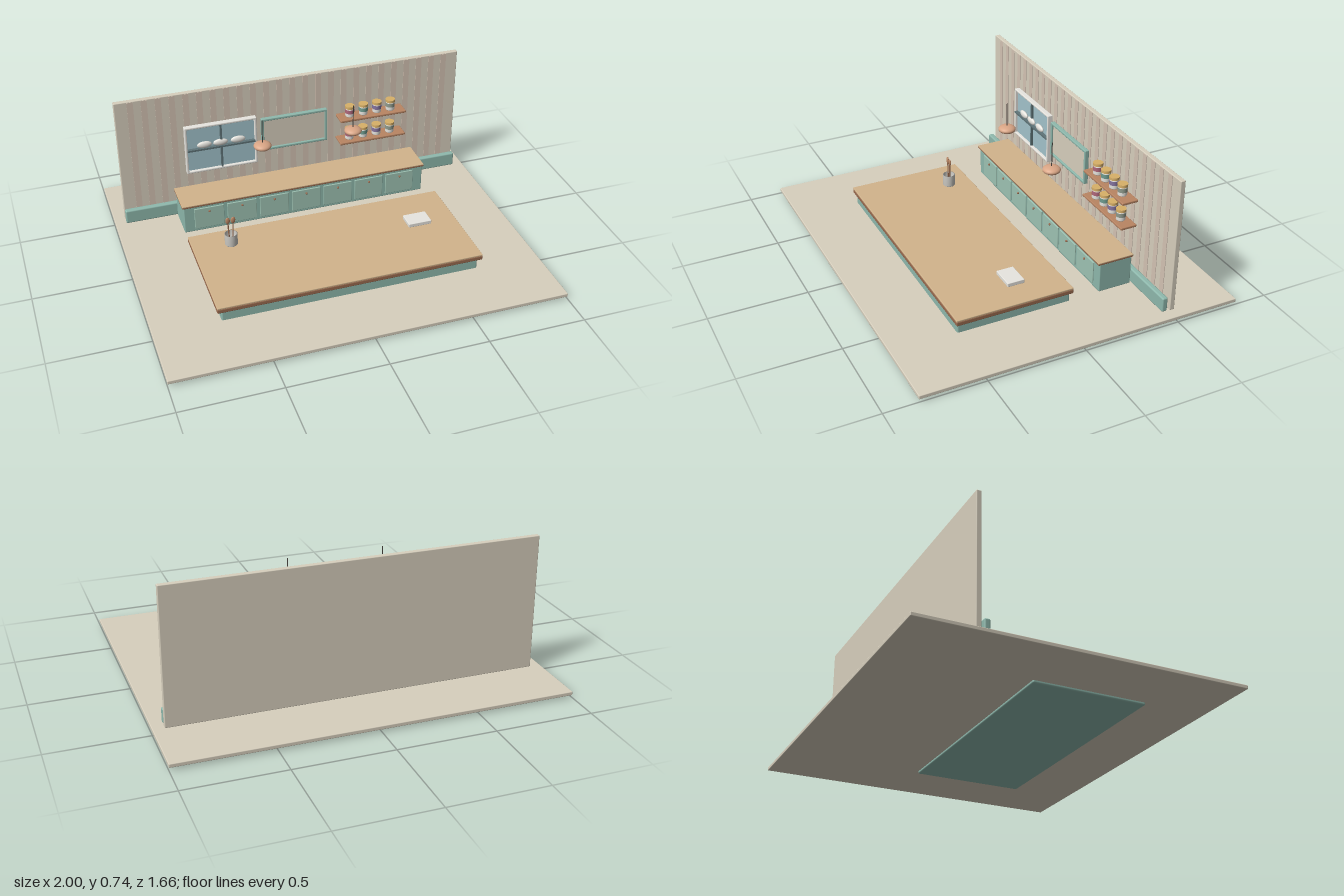
import * as THREE from 'three';
import { RoundedBoxGeometry } from 'three/addons/geometries/RoundedBoxGeometry.js';

const C = {
  cream: 0xd8d0be, stripe: 0xd5c4b4, teal: 0x8fb9ad, door: 0x9fc4b4, wood: 0xd2b48c, brown: 0x9a6b4f,
  shelf: 0xb98563, white: 0xe8e6e0, glass: 0xa3c4cc, slate: 0x5f7478, copper: 0xd9a585, dark: 0x4a4540,
  gold: 0xd8b068, steel: 0xc8c6c0,
};
const materials = {};
const mat = (color) => (materials[color] ??= new THREE.MeshStandardMaterial({ color, side: THREE.DoubleSide }));

function add(parent, name, geometry, color, x = 0, y = 0, z = 0) {
  const mesh = new THREE.Mesh(geometry, mat(color));
  mesh.name = name;
  mesh.position.set(x, y, z);
  parent.add(mesh);
  return mesh;
}

// Box given by its extents, with softened edges when r > 0
function box(parent, name, [x0, x1], [y0, y1], [z0, z1], color, r = 0) {
  const size = [x1 - x0, y1 - y0, z1 - z0];
  const geometry = r ? new RoundedBoxGeometry(...size, 2, r) : new THREE.BoxGeometry(...size);
  return add(parent, name, geometry, color, (x0 + x1) / 2, (y0 + y1) / 2, (z0 + z1) / 2);
}

function group(parent, name) {
  const g = new THREE.Group();
  g.name = name;
  parent.add(g);
  return g;
}

// Rectangular frame made of four bars
function frame(parent, name, [x0, x1], [y0, y1], z, w, color) {
  box(parent, name + 'Left', [x0, x0 + w], [y0, y1], z, color, 0.004);
  box(parent, name + 'Right', [x1 - w, x1], [y0, y1], z, color, 0.004);
  box(parent, name + 'Bottom', [x0, x1], [y0, y0 + w], z, color, 0.004);
  box(parent, name + 'Top', [x0, x1], [y1 - w, y1], z, color, 0.004);
}

const lathe = (points, segments = 24) =>
  new THREE.LatheGeometry(points.map(([r, y]) => new THREE.Vector2(r, y)), segments);

export function createModel() {
  const model = new THREE.Group();
  model.name = 'kitchen';

  // Floor, wall with wallpaper stripes, baseboard
  box(model, 'floor', [-1, 1], [0.013, 0.033], [-0.83, 0.83], C.cream, 0.004);
  box(model, 'wall', [-0.943, 0.943], [0.033, 0.737], [-0.513, -0.487], C.cream, 0.004);
  const stripes = group(model, 'wallStripes');
  for (let i = 0; i < 25; i++) {
    const x = -0.86 + i * 0.0717;
    box(stripes, 'stripe', [x - 0.016, x + 0.016], [0.04, 0.733], [-0.488, -0.4845], C.stripe);
  }
  box(model, 'baseboard', [-0.943, 0.943], [0.035, 0.112], [-0.473, -0.443], C.teal, 0.008);

  // Island
  const island = group(model, 'island');
  box(island, 'islandBase', [-0.663, 0.663], [0, 0.086], [-0.098, 0.495], C.teal, 0.008);
  box(island, 'islandSlab', [-0.685, 0.685], [0.086, 0.109], [-0.107, 0.507], C.brown, 0.005);
  box(island, 'islandTop', [-0.685, 0.685], [0.108, 0.118], [-0.107, 0.507], C.wood, 0.003);

  // Back counter with seven doors
  const counter = group(model, 'backCounter');
  box(counter, 'counterBody', [-0.668, 0.668], [0.038, 0.194], [-0.435, -0.258], C.teal, 0.005);
  box(counter, 'counterEdge', [-0.677, 0.673], [0.193, 0.203], [-0.442, -0.247], C.brown, 0.003);
  box(counter, 'counterTop', [-0.677, 0.673], [0.201, 0.207], [-0.442, -0.247], C.wood, 0.002);
  for (let i = -3; i <= 3; i++) {
    const x = i * 0.1777;
    box(counter, 'door', [x - 0.08, x + 0.08], [0.055, 0.177], [-0.26, -0.252], C.door, 0.003);
    add(counter, 'knob', new THREE.SphereGeometry(0.006, 12, 8), C.brown, x, 0.155, -0.248);
  }

  // Window with glass, mullion, shelf and bowls
  const win = group(model, 'window');
  box(win, 'glass', [-0.595, -0.215], [0.285, 0.55], [-0.463, -0.453], C.glass);
  frame(win, 'windowFrame', [-0.6, -0.212], [0.28, 0.557], [-0.468, -0.438], 0.012, C.white);
  box(win, 'mullion', [-0.411, -0.401], [0.29, 0.548], [-0.463, -0.44], C.slate);
  box(win, 'transom', [-0.59, -0.222], [0.413, 0.423], [-0.463, -0.434], C.slate);
  for (const x of [-0.497, -0.41, -0.315]) {
    const bowl = add(win, 'bowl', new THREE.SphereGeometry(0.04, 20, 12), C.white, x, 0.441, -0.445);
    bowl.scale.set(1, 0.48, 0.3);
  }

  // Framed board
  const board = group(model, 'wallBoard');
  box(board, 'boardPanel', [-0.178, 0.173], [0.352, 0.528], [-0.46, -0.45], C.cream);
  frame(board, 'boardFrame', [-0.186, 0.181], [0.344, 0.536], [-0.464, -0.44], 0.014, C.teal);

  // Shelves with jars
  const jarBody = lathe([[0, 0], [0.022, 0], [0.024, 0.004], [0.024, 0.044], [0.02, 0.049]]);
  const jarBand = new THREE.CylinderGeometry(0.0247, 0.0247, 0.022, 24);
  const jarLid = new THREE.CylinderGeometry(0.026, 0.026, 0.014, 24);
  const jarColors = [0xb0687c, 0x6f9c90, 0x85749f, 0x8f9a8c];
  for (const y of [0.334, 0.473]) {
    const shelf = group(model, 'wallShelf');
    box(shelf, 'shelfBoard', [0.243, 0.618], [y - 0.014, y], [-0.485, -0.397], C.shelf, 0.004);
    jarColors.forEach((color, i) => {
      const x = 0.308 + i * 0.0777;
      add(shelf, 'jar', jarBody, C.white, x, y, -0.441);
      add(shelf, 'jarBand', jarBand, color, x, y + 0.032, -0.441);
      add(shelf, 'jarLid', jarLid, C.gold, x, y + 0.056, -0.441);
    });
  }

  // Pendant lamps
  for (const x of [-0.245, 0.245]) {
    const lamp = group(model, 'pendantLamp');
    const shade = add(lamp, 'lampShade', new THREE.SphereGeometry(0.046, 32, 16), C.copper, x, 0.519, -0.213);
    shade.scale.y = 0.46;
    add(lamp, 'lampCord', new THREE.CylinderGeometry(0.0025, 0.0025, 0.13, 8), C.dark, x, 0.602, -0.213);
  }

  // Crock with wooden spoons
  const crock = group(model, 'utensilCrock');
  crock.position.set(-0.487, 0.118, 0.019);
  add(crock, 'crock', lathe([[0, 0], [0.031, 0], [0.033, 0.003], [0.033, 0.063], [0.029, 0.063], [0.028, 0.008], [0, 0.008]]), C.steel);
  for (const side of [-1, 1]) {
    const spoon = group(crock, 'woodenSpoon');
    spoon.position.set(side * 0.008, 0.01, 0);
    spoon.rotation.z = -side * 0.045;
    add(spoon, 'spoonHandle', new THREE.CylinderGeometry(0.0035, 0.0035, 0.12, 8), C.brown, 0, 0.06, 0);
    const head = add(spoon, 'spoonHead', new THREE.SphereGeometry(0.012, 16, 10), C.shelf, 0, 0.133, 0);
    head.scale.set(1, 1.6, 0.5);
  }

  // Book on the island
  box(model, 'book', [0.42, 0.545], [0.118, 0.139], [0.085, 0.175], C.white, 0.003);

  return model;
}
